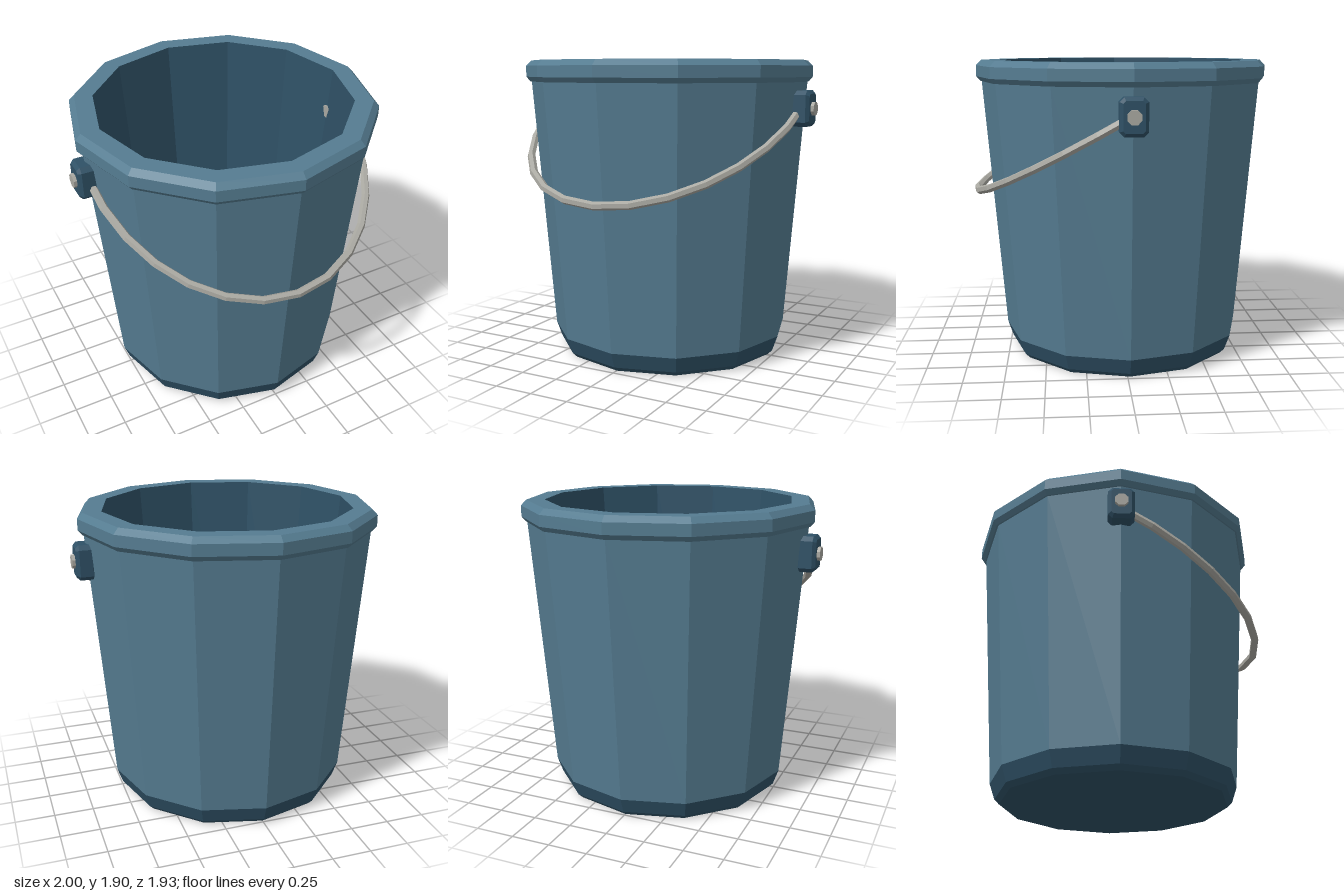
import * as THREE from 'three';

const SIDES = 12;
const CENTRE_Z = -0.015;
const PIVOT_Y = 1.61;

// Faceted normals for a low-poly finish
function flat(geometry) {
  const g = geometry.index ? geometry.toNonIndexed() : geometry;
  g.computeVertexNormals();
  return g;
}

function part(name, geometry, material) {
  const mesh = new THREE.Mesh(flat(geometry), material);
  mesh.name = name;
  return mesh;
}

// Twelve-sided ring from [radius, height] pairs
function lathe(points) {
  return new THREE.LatheGeometry(points.map(([r, y]) => new THREE.Vector2(r, y)), SIDES);
}

// Half ellipse hanging forward and down from the two pivots
class HandleCurve extends THREE.Curve {
  getPoint(t, target = new THREE.Vector3()) {
    const a = (t - 0.5) * Math.PI;
    return target.set(0.905 * Math.sin(a), -0.54 * Math.cos(a), 0.955 * Math.cos(a));
  }
}

// Bevelled block with clipped corners, its outer face along +z
function lugGeometry() {
  const w = 0.062, h = 0.09, c = 0.015;
  const outline = [
    [-w + c, -h], [w - c, -h], [w, -h + c], [w, h - c],
    [w - c, h], [-w + c, h], [-w, h - c], [-w, -h + c],
  ].map(([x, y]) => new THREE.Vector2(x, y));
  const g = new THREE.ExtrudeGeometry(new THREE.Shape(outline), {
    depth: 0.08, bevelEnabled: true, bevelSize: 0.02, bevelThickness: 0.02, bevelSegments: 1,
  });
  return g.translate(0, 0, 0.88);
}

export function createModel() {
  const blue = new THREE.MeshStandardMaterial({ color: 0x557c91 });
  blue.name = 'bucket blue';
  const dark = new THREE.MeshStandardMaterial({ color: 0x2f5166 });
  dark.name = 'dark blue';
  const metal = new THREE.MeshStandardMaterial({ color: 0xaaa9a2 });
  metal.name = 'handle metal';

  const bucket = new THREE.Group();
  bucket.name = 'bucket';
  bucket.position.z = CENTRE_Z;

  // Shell: base, wall, rolled rim and hollow inside
  bucket.add(
    part('base', lathe([[0, 0], [0.72, 0], [0.75, 0.03], [0.785, 0.13]]), dark),
    part('outerWall', lathe([[0.785, 0.13], [0.915, 1.77]]), blue),
    part('rim', lathe([[0.91, 1.77], [0.925, 1.77], [0.95, 1.8], [0.95, 1.87], [0.915, 1.905], [0.8, 1.905]]), blue),
    part('inside', lathe([[0.8, 1.905], [0.655, 0.08], [0, 0.08]]), dark),
  );

  // Handle lugs and pins, mirrored left and right
  for (const side of [1, -1]) {
    const mount = new THREE.Group();
    mount.name = side > 0 ? 'leftMount' : 'rightMount';
    mount.position.y = PIVOT_Y;
    mount.rotation.y = side * Math.PI / 2;
    const pin = new THREE.CylinderGeometry(0.044, 0.044, 0.23, 8);
    pin.rotateY(Math.PI / 8).rotateX(Math.PI / 2).translate(0, 0, 0.885);
    mount.add(part('lug', lugGeometry(), dark), part('pin', pin, metal));
    bucket.add(mount);
  }

  // Wire handle
  const handle = part('handle', new THREE.TubeGeometry(new HandleCurve(), 14, 0.026, 6), metal);
  handle.position.y = PIVOT_Y;
  bucket.add(handle);

  const model = new THREE.Group();
  model.add(bucket);
  return model;
}
